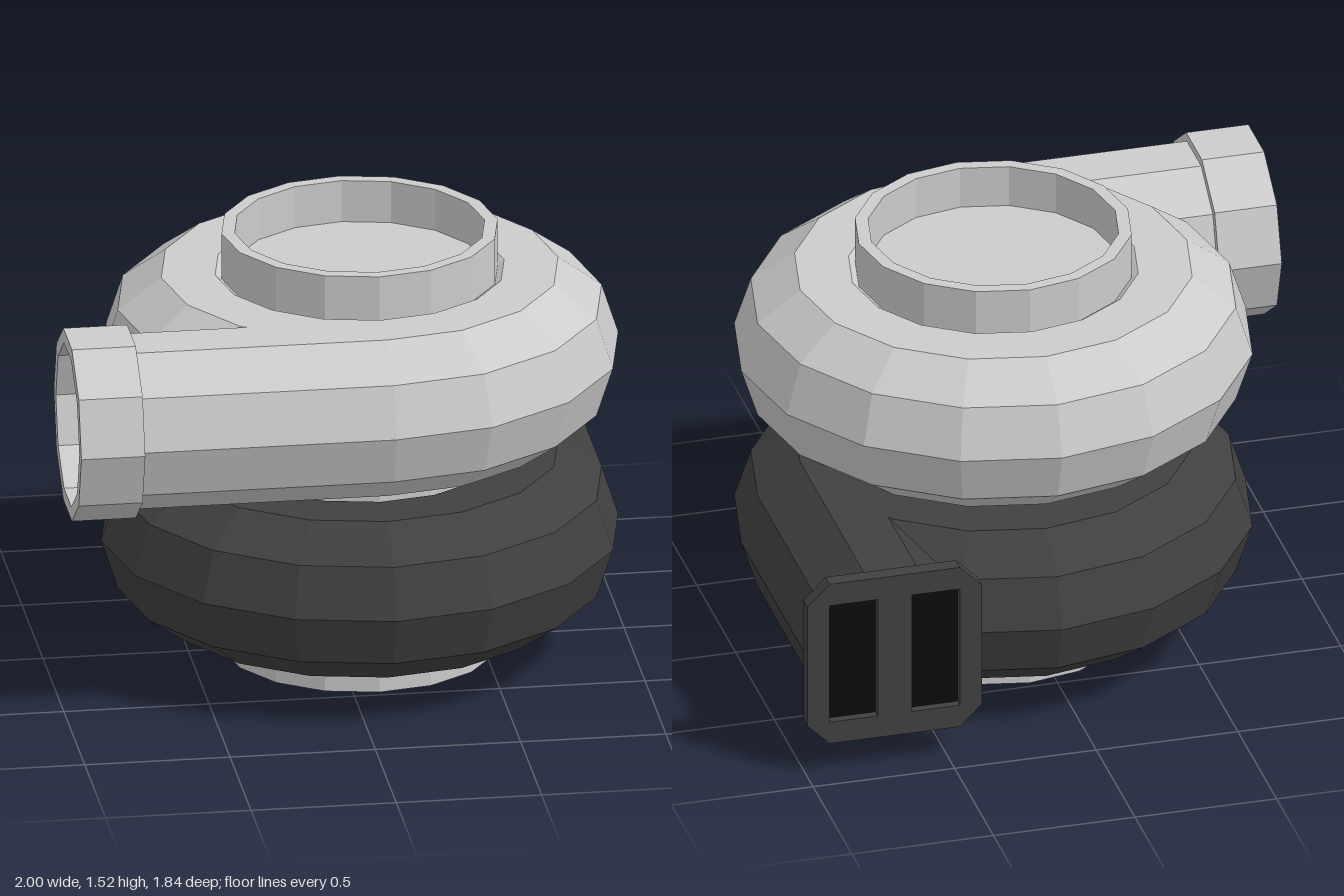
import * as THREE from 'three';

const AXIS_X = 0.09;   // shared vertical axis of both housings
const RING_R = 0.59;   // volute centre line radius
const PIPE_R = 0.3;    // volute pipe radius
const PIPE_SIDES = 10;
const RING_SIDES = 16;

const material = (color) =>
  new THREE.MeshStandardMaterial({ color, flatShading: true, side: THREE.DoubleSide });

export function createModel() {
  const model = new THREE.Group();
  const grey = material(0xcccccc);
  const iron = material(0x404040);
  const black = material(0x0c0c0c);

  const add = (name, geometry, mat, x, y, z) => {
    const mesh = new THREE.Mesh(geometry, mat);
    mesh.name = name;
    mesh.position.set(x, y, z);
    model.add(mesh);
    return mesh;
  };
  const lathe = (points, sides) =>
    new THREE.LatheGeometry(points.map(([r, y]) => new THREE.Vector2(r, y)), sides);
  const ring = () =>
    new THREE.TorusGeometry(RING_R, PIPE_R, PIPE_SIDES, RING_SIDES).rotateX(Math.PI / 2);
  const pipe = (length) =>
    new THREE.CylinderGeometry(PIPE_R, PIPE_R, length, PIPE_SIDES, 1, true);

  // Central body with a recessed port at the top and bottom
  add('centreBody', lathe([
    [0, 0.15], [0.43, 0.15], [0.43, 0], [0.475, 0],
    [0.475, 1.52], [0.43, 1.52], [0.43, 1.37], [0, 1.37],
  ], RING_SIDES), grey, AXIS_X, 0, 0);

  // Upper housing and its sideways outlet
  const upperY = 1.085;
  add('compressorVolute', ring(), grey, AXIS_X, upperY, 0);
  const upperLength = AXIS_X + 0.79;
  add('compressorOutletPipe', pipe(upperLength).rotateZ(Math.PI / 2), grey,
    AXIS_X - upperLength / 2, upperY, RING_R);
  add('compressorOutletCollar', lathe([
    [0.28, 0.78], [0.33, 0.78], [0.33, 1], [0.28, 1], [0.28, 0.78],
  ], PIPE_SIDES).rotateZ(Math.PI / 2), grey, 0, upperY, RING_R);
  add('compressorOutletBore', new THREE.CylinderGeometry(0.28, 0.28, 0.02, PIPE_SIDES)
    .rotateZ(Math.PI / 2), black, -0.89, upperY, RING_R);

  // Lower housing and its backward inlet
  const lowerY = 0.42;
  const inletX = AXIS_X + RING_R;
  add('turbineVolute', ring(), iron, AXIS_X, lowerY, 0);
  add('turbineInletPipe', pipe(0.88).rotateY(Math.PI / 2).rotateX(Math.PI / 2), iron,
    inletX, lowerY, -0.44);

  // Chamfered flange outline
  const h = 0.308, c = 0.23;
  const outline = () => new THREE.Shape([
    [-c, -h], [c, -h], [h, -c], [h, c], [c, h], [-c, h], [-h, c], [-h, -c],
  ].map(([x, y]) => new THREE.Vector2(x, y)));
  const slab = (shape, depth) =>
    new THREE.ExtrudeGeometry(shape, { depth, bevelEnabled: false });

  // Front layer has two tall ports, back layer is solid
  const portW = 0.17, portH = 0.45, portX = 0.145;
  const face = outline();
  for (const side of [-1, 1]) {
    const x0 = side * portX - portW / 2, x1 = x0 + portW, y = portH / 2;
    face.holes.push(new THREE.Path([
      new THREE.Vector2(x0, -y), new THREE.Vector2(x0, y),
      new THREE.Vector2(x1, y), new THREE.Vector2(x1, -y),
    ]));
    add('inletPort', new THREE.BoxGeometry(portW, portH, 0.004), black,
      inletX + 0.01 + side * portX, lowerY + 0.003, -0.889);
  }
  add('inletFlangeFace', slab(face, 0.035), iron, inletX + 0.01, lowerY + 0.003, -0.922);
  add('inletFlangeBack', slab(outline(), 0.02), iron, inletX + 0.01, lowerY + 0.003, -0.888);

  return model;
}
